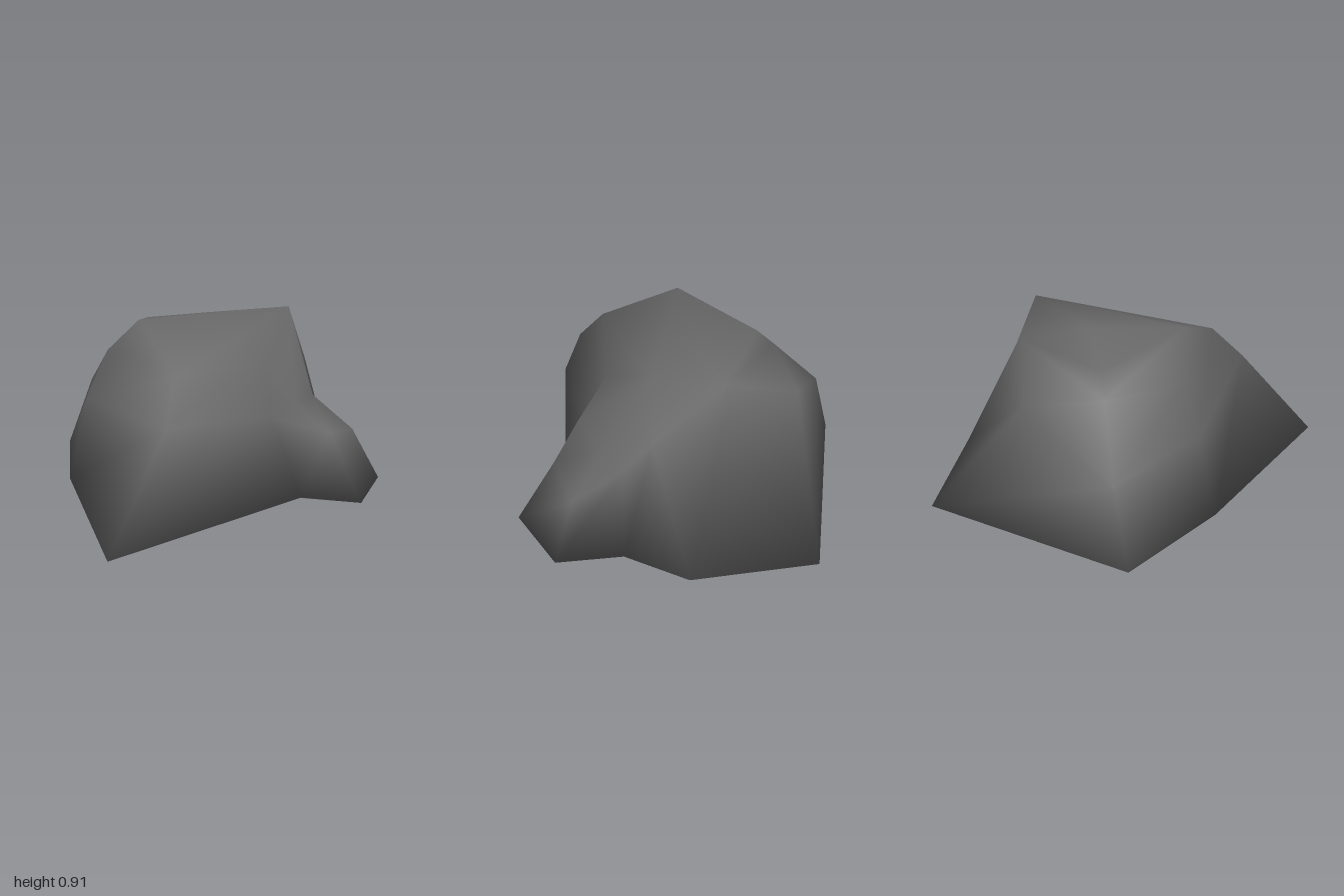
import * as THREE from 'three';
import { mergeVertices } from 'three/addons/utils/BufferGeometryUtils.js';

// Corners shared by several cross-sections
const peak = [0.23, 0.91, -0.56];
const frontPeak = [-0.06, 0.91, 0.28];
const backCorner = [-0.14, 0.83, -0.57];
const backFoot = [0.12, 0, -0.99];
const knob = [0.47, 0.465, -0.5];

// Cross-sections of the boulder, each counterclockwise seen from above
const foot = [
  [0.54, 0, 1], [0.65, 0, -0.21], [0.91, 0, -0.38], [0.75, 0, -0.75], [0.41, 0, -0.77],
  backFoot, backFoot, [-0.53, 0, -1], [-0.92, 0, 0.11], [-0.4, 0, 0.5],
];
const waist = [
  [0.46, 0.5, 0.58], [0.5, 0.42, -0.13], [0.7, 0.33, -0.37], [0.64, 0.28, -0.64], [0.38, 0.4, -0.61],
  [0.25, 0.6, -0.69], backCorner, [-0.53, 0.67, -0.46], [-0.8, 0.4, 0.02], [-0.36, 0.45, 0.4],
];
const shoulder = [
  [0.34, 0.72, 0.405], [0.4, 0.7, -0.2], [0.56, 0.48, -0.25], knob, knob,
  peak, backCorner, backCorner, [-0.51, 0.715, -0.06], [-0.28, 0.72, 0.31],
];
const crown = [
  frontPeak, peak, peak, peak, peak,
  peak, backCorner, backCorner, [-0.41, 0.82, -0.09], frontPeak,
];
const summit = foot.map(() => [-0.07, 0.88, -0.21]);

// The flat floor fans out from the front right corner of the foot
const floorFan = foot.map(() => foot.at(-1));

// Joins successive rings with triangles, skipping collapsed ones
function loft(rings) {
  const pos = [];
  const tri = (...p) => {
    const [a, b, c] = p.map((q) => new THREE.Vector3(...q));
    if (new THREE.Triangle(a, b, c).getArea() > 1e-6) p.forEach((q) => pos.push(...q));
  };
  for (let r = 0; r < rings.length - 1; r++) {
    const low = rings[r], up = rings[r + 1];
    for (let i = 0; i < low.length; i++) {
      const j = (i + 1) % low.length;
      tri(low[i], low[j], up[j]);
      tri(low[i], up[j], up[i]);
    }
  }
  const geo = new THREE.BufferGeometry();
  geo.setAttribute('position', new THREE.Float32BufferAttribute(pos, 3));
  const smooth = mergeVertices(geo, 1e-4);
  smooth.computeVertexNormals();
  return smooth;
}

export function createModel() {
  const group = new THREE.Group();
  group.name = 'boulder';
  const stone = new THREE.MeshStandardMaterial({ color: 0x686868 });
  stone.name = 'dark grey stone';

  // One closed skin, smooth all the way round the foot
  const body = new THREE.Mesh(loft([floorFan, foot, waist, shoulder, crown, summit]), stone);
  body.name = 'rockBody';
  group.add(body);
  return group;
}
